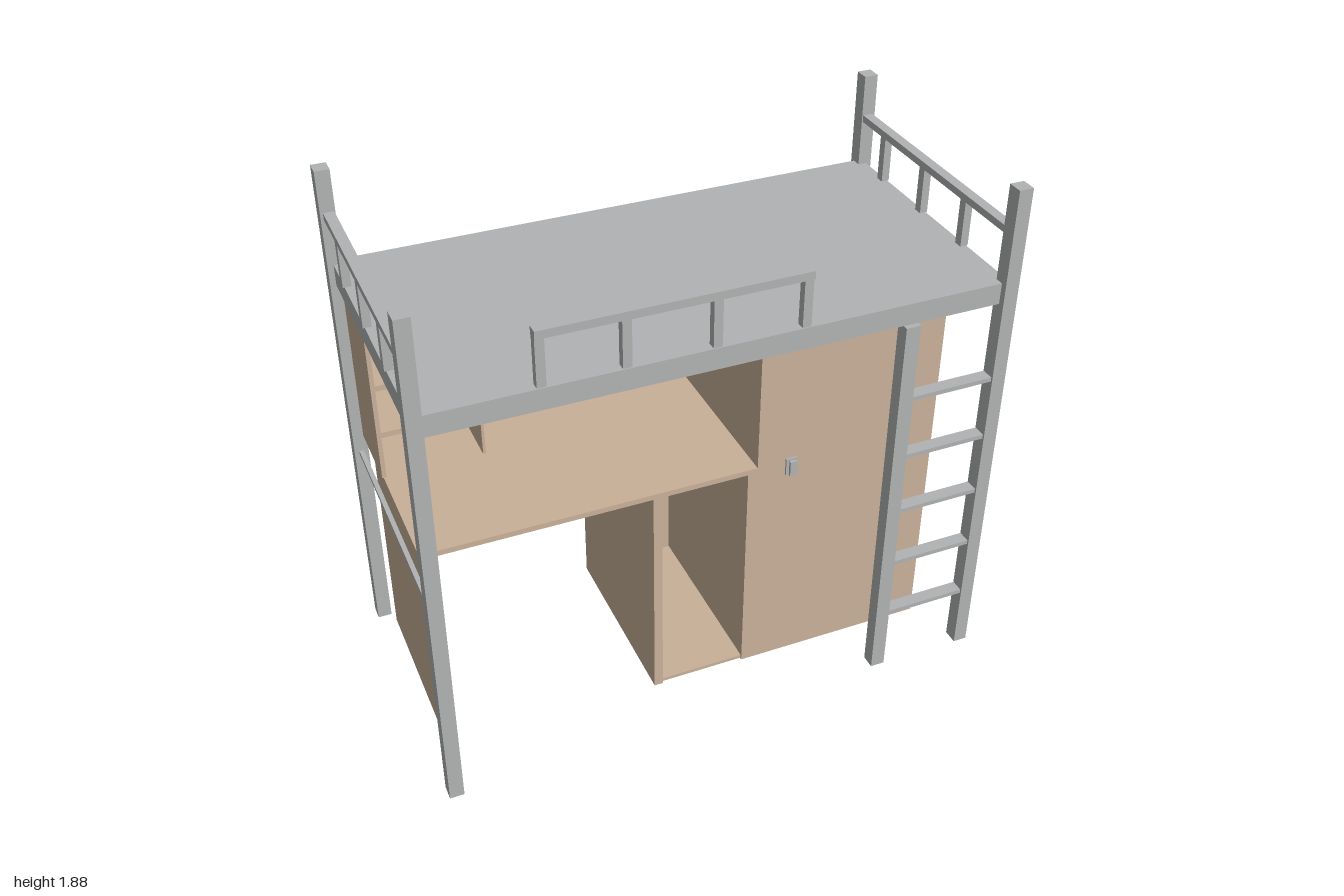
import * as THREE from 'three';

export function createModel() {
  const model = new THREE.Group();
  model.name = 'loftBed';

  const mat = (name, color) => {
    const m = new THREE.MeshStandardMaterial({ color });
    m.name = name;
    return m;
  };
  const steel = mat('grey steel', 0xb0b2b3);
  const wood = mat('tan wood', 0xc8b098);
  const panel = mat('blue grey panel', 0xa4b2bb);

  // Box given by its limits on each axis
  const box = (name, m, x0, x1, y0, y1, z0, z1, parent = model) => {
    const mesh = new THREE.Mesh(new THREE.BoxGeometry(x1 - x0, y1 - y0, z1 - z0), m);
    mesh.position.set((x0 + x1) / 2, (y0 + y1) / 2, (z0 + z1) / 2);
    mesh.name = name;
    parent.add(mesh);
    return mesh;
  };
  const group = (name) => {
    const g = new THREE.Group();
    g.name = name;
    model.add(g);
    return g;
  };

  // Frame: corner posts, bed base and the low bar on the left end
  const frame = group('bedFrame');
  for (const x of [-0.975, 0.975]) {
    for (const z of [-0.483, 0.483]) {
      box('post', steel, x - 0.025, x + 0.025, 0.02, 1.88, z - 0.027, z + 0.027, frame);
    }
  }
  box('bedBase', steel, -0.95, 0.95, 1.47, 1.545, -0.49, 0.487, frame);
  for (const s of [-1, 1]) {
    box('bedBaseEnd', steel, s * 0.965 - 0.015, s * 0.965 + 0.015, 1.47, 1.545, -0.456, 0.456, frame);
  }
  box('lowBar', steel, -0.983, -0.967, 0.785, 0.8, -0.456, 0.456, frame);

  // Guard rails on both ends
  const rails = group('guardRails');
  for (const x of [-0.972, 0.972]) {
    box('endRail', steel, x - 0.018, x + 0.018, 1.71, 1.735, -0.456, 0.456, rails);
    for (const z of [0.21, -0.05, -0.315]) {
      box('endBaluster', steel, x - 0.014, x + 0.014, 1.545, 1.71, z - 0.016, z + 0.016, rails);
    }
  }

  // Guard rail along the front
  box('frontRail', steel, -0.607, 0.275, 1.71, 1.738, 0.45, 0.487, rails);
  for (const x of [-0.592, -0.327, -0.038, 0.258]) {
    box('frontBaluster', steel, x - 0.015, x + 0.015, 1.545, 1.71, 0.454, 0.483, rails);
  }

  // Ladder between its stile and the front right post
  const ladder = group('ladder');
  box('ladderStile', steel, 0.6, 0.652, 0.02, 1.47, 0.455, 0.506, ladder);
  for (let i = 0; i < 5; i++) {
    const y = 0.263 + i * 0.2315;
    box('rung', steel, 0.652, 0.95, y - 0.008, y + 0.008, 0.457, 0.503, ladder);
  }

  // Wardrobe, set back a little above the desk top
  const wardrobe = group('wardrobe');
  box('wardrobeLower', wood, 0.185, 0.905, 0, 0.855, -0.438, 0.27, wardrobe);
  box('wardrobeUpper', wood, 0.22, 0.905, 0.855, 1.44, -0.438, 0.27, wardrobe);
  box('handlePlate', steel, 0.325, 0.365, 0.82, 0.885, 0.27, 0.277, wardrobe);
  box('handleNeck', steel, 0.337, 0.353, 0.862, 0.878, 0.277, 0.285, wardrobe);
  box('handleGrip', steel, 0.332, 0.358, 0.825, 0.882, 0.285, 0.295, wardrobe);

  // Desk with its left leg panel and the open cabinet beneath it
  const desk = group('desk');
  box('deskTop', wood, -0.96, 0.22, 0.855, 0.875, -0.438, 0.27, desk);
  box('deskLeg', wood, -0.937, -0.91, 0, 0.855, -0.438, 0.27, desk);
  box('cabinetSide', wood, -0.162, -0.13, 0, 0.855, -0.438, 0.27, desk);
  box('cabinetBottom', wood, -0.13, 0.185, 0.005, 0.018, -0.438, 0.265, desk);
  box('cabinetBack', wood, -0.13, 0.185, 0.018, 0.855, -0.438, -0.42, desk);

  // Bookshelf standing on the desk
  const shelf = group('bookshelf');
  box('shelfBack', wood, -0.96, 0.22, 0.875, 1.44, -0.438, -0.42, shelf);
  box('shelfSide', wood, -0.965, -0.95, 0.875, 1.44, -0.438, -0.17, shelf);
  box('shelfDivider', wood, -0.612, -0.602, 0.875, 1.44, -0.42, -0.17, shelf);
  box('longShelf', wood, -0.602, 0.22, 1.207, 1.24, -0.42, -0.17, shelf);
  for (const y of [1.046, 1.23]) {
    box('shortShelf', wood, -0.95, -0.612, y - 0.01, y + 0.01, -0.42, -0.17, shelf);
  }
  box('backPlate', panel, -0.95, -0.612, 1.24, 1.44, -0.42, -0.415, shelf);

  return model;
}
